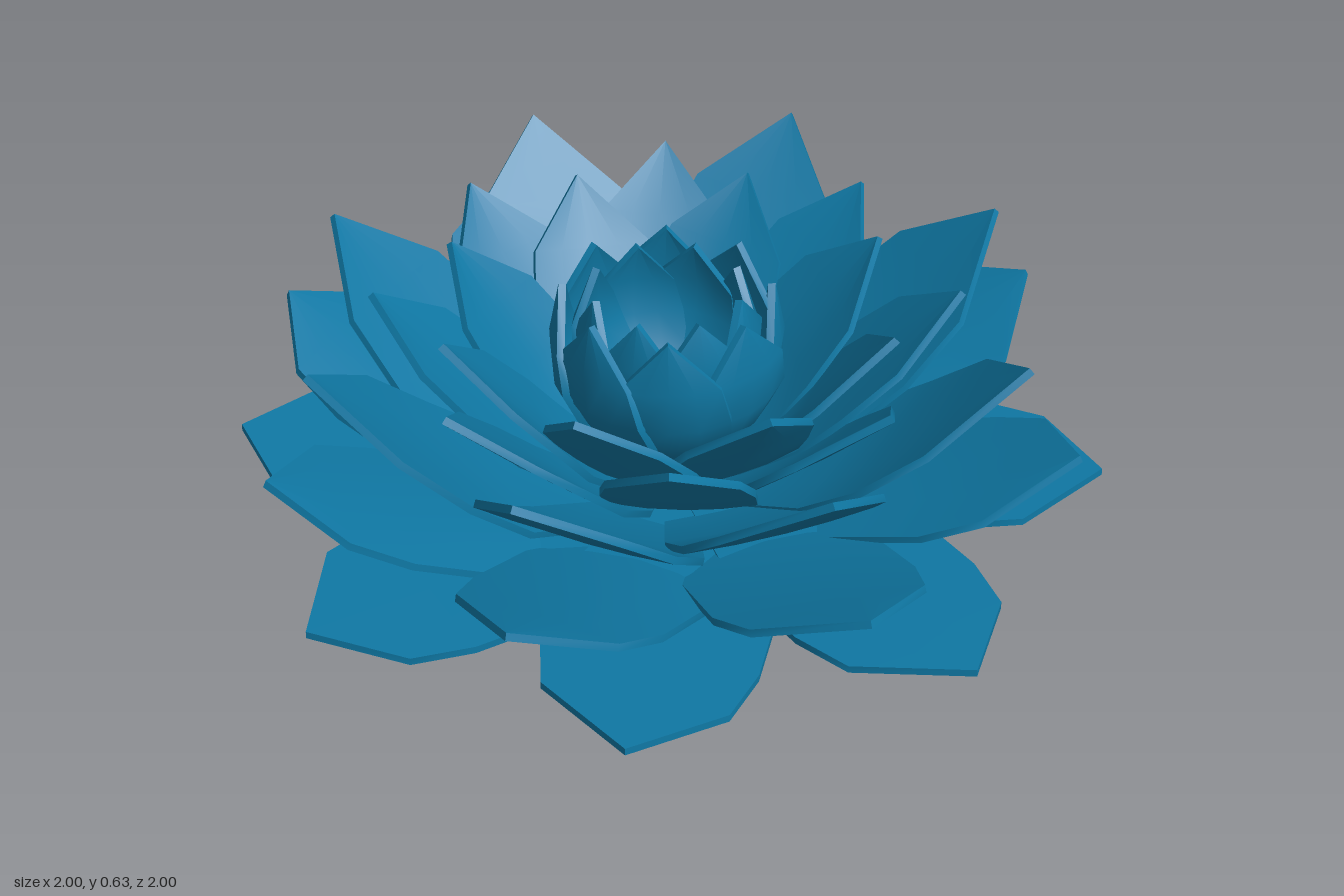
import * as THREE from 'three';

const material = new THREE.MeshStandardMaterial({ color: 0x0f78a4 });
const rad = THREE.MathUtils.degToRad;
const PETALS = 8;
const THICK = 0.018;
const COLUMNS = [-1, -0.5, 0, 0.5, 1];

// Rings from the outside in. path: (radius, height) points from base to tip,
// width: half width, spread: extra width of the second half, shoulder: fraction
// of the length where the tip begins, angle: direction of the first tip,
// skew: sideways lean of the petal axis
const RINGS = [
  { name: 'outerPetals', path: [[0, 0.08], [0.45, 0.107], [0.75, 0.122], [1.04, 0.135]], width: 0.215, spread: 1.2, shoulder: 0.848, angle: 16.2, skew: 8.5, cup: 0, roll: 0.02 },
  { name: 'lowerPetals', path: [[0, 0], [0.38, 0.1], [0.62, 0.19], [0.995, 0.365]], width: 0.21, spread: 1.17, shoulder: 0.845, angle: -14, skew: 8, cup: -0.1, roll: 0.02 },
  { name: 'middlePetals', path: [[0, 0.02], [0.3, 0.12], [0.56, 0.29], [0.872, 0.6]], width: 0.205, spread: 1.1, shoulder: 0.79, angle: -12, skew: 6.5, cup: 0.08, roll: 0.02 },
  { name: 'upperPetals', path: [[0, 0.04], [0.22, 0.13], [0.45, 0.34], [0.69, 0.59]], width: 0.16, spread: 1.1, shoulder: 0.79, angle: 11, skew: 6, cup: 0.15, roll: 0.02 },
  { name: 'innerPetals', path: [[0, 0.07], [0.2, 0.17], [0.38, 0.37], [0.56, 0.6]], width: 0.16, spread: 1.1, shoulder: 0.77, angle: -12.5, skew: 8, cup: 0.25, roll: 0.02 },
  { name: 'budOuterPetals', path: [[0, 0.12], [0.16, 0.22], [0.275, 0.42], [0.25, 0.625]], width: 0.135, spread: 1, shoulder: 0.8, angle: 11, skew: 3, cup: 0.5, roll: 0.05 },
  { name: 'budInnerPetals', path: [[0, 0.14], [0.12, 0.25], [0.22, 0.46], [0.185, 0.625]], width: 0.11, spread: 1, shoulder: 0.8, angle: -12, skew: 3, cup: 0.5, roll: 0.05 },
];

// Petal outline: [fraction of length, fraction of half width]
function outline(shoulder) {
  const belly = 1 - 1.9 * (1 - shoulder);
  return [[0, 0.03], [0.22, 0.62], [0.44, 1.03], [belly, 1.04], [shoulder, 0.88], [1, 0]];
}

// Appends a smooth grid of points (rows of equal length) to the buffers
function addGrid(positions, indices, rows, flip) {
  const start = positions.length / 3;
  const n = rows[0].length;
  rows.flat().forEach((p) => positions.push(p.x, p.y, p.z));
  for (let r = 0; r < rows.length - 1; r++) {
    for (let c = 0; c < n - 1; c++) {
      const a = start + r * n + c;
      const b = a + n;
      if (flip) indices.push(a, b, a + 1, a + 1, b, b + 1);
      else indices.push(a, a + 1, b, a + 1, b + 1, b);
    }
  }
}

// One thick petal pointing along +x, bent across its width
function petalGeometry({ path, width, spread, shoulder, skew, cup, roll }) {
  const curve = new THREE.CatmullRomCurve3(path.map(([r, y]) => new THREE.Vector3(r, y, 0)));
  const tipRadius = path[path.length - 1][0];
  const sin = Math.sin(rad(skew));
  const cos = Math.cos(rad(skew));
  const lower = [];
  const upper = [];
  for (const [t, w] of outline(shoulder)) {
    const p = curve.getPointAt(t);
    const tangent = curve.getTangentAt(t);
    const normal = new THREE.Vector3(-tangent.y, tangent.x, 0);
    const fade = Math.min(1, t / 0.4);
    const shift = -sin * (1 - t) * tipRadius * fade;
    const row = COLUMNS.map((s) => {
      const side = s * w * width * (s > 0 ? spread : 1);
      return p.clone()
        .addScaledVector(tangent, -sin * side * fade)
        .addScaledVector(normal, cup * side * side / width * 0.5 + roll * side)
        .add(new THREE.Vector3(0, 0, shift + cos * side));
    });
    lower.push(row);
    upper.push(row.map((q) => q.clone().addScaledVector(normal, THICK)));
  }

  // Rim runs up one edge to the tip and back down the other
  const last = COLUMNS.length - 1;
  const rim = (rows) => [...rows.map((r) => r[0]), ...rows.map((r) => r[last]).reverse()];

  const positions = [];
  const indices = [];
  addGrid(positions, indices, upper, false);
  addGrid(positions, indices, lower, true);
  addGrid(positions, indices, [rim(lower), rim(upper)], true);

  const geometry = new THREE.BufferGeometry();
  geometry.setAttribute('position', new THREE.Float32BufferAttribute(positions, 3));
  geometry.setIndex(indices);
  geometry.computeVertexNormals();
  return geometry;
}

export function createModel() {
  const flower = new THREE.Group();
  flower.name = 'lotusFlower';
  for (const ring of RINGS) {
    const group = new THREE.Group();
    group.name = ring.name;
    const geometry = petalGeometry(ring);
    for (let i = 0; i < PETALS; i++) {
      const petal = new THREE.Mesh(geometry, material);
      petal.name = 'petal';
      petal.rotation.y = -rad(ring.angle + (i * 360) / PETALS);
      group.add(petal);
    }
    flower.add(group);
  }
  return flower;
}
